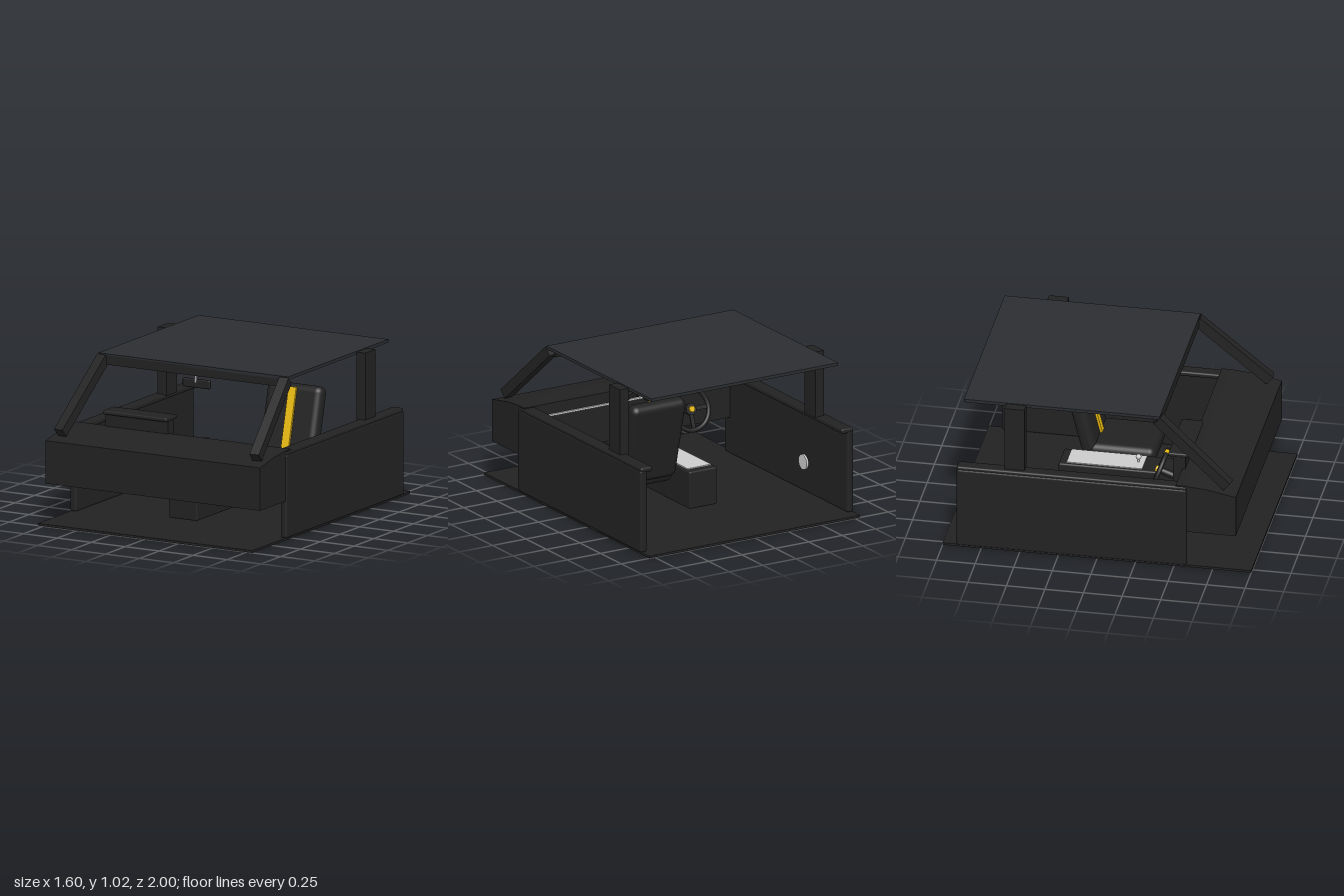
import * as THREE from 'three';
import { RoundedBoxGeometry } from 'three/addons/geometries/RoundedBoxGeometry.js';

const mat = (color) => new THREE.MeshStandardMaterial({ color });
const black = mat(0x222222), roofGrey = mat(0x2b2d30), yellow = mat(0xe8b90c), grey = mat(0xcccccc);

export function createModel() {
  const car = new THREE.Group();

  const add = (name, geometry, material, x, y, z, parent = car) => {
    const mesh = new THREE.Mesh(geometry, material);
    mesh.name = name;
    mesh.position.set(x, y, z);
    parent.add(mesh);
    return mesh;
  };
  // Box given by its lower and upper corners
  const box = (name, material, [x0, y0, z0], [x1, y1, z1], radius = 0, parent = car) => {
    const size = [x1 - x0, y1 - y0, z1 - z0];
    const geometry = radius ? new RoundedBoxGeometry(...size, 3, radius) : new THREE.BoxGeometry(...size);
    return add(name, geometry, material, (x0 + x1) / 2, (y0 + y1) / 2, (z0 + z1) / 2, parent);
  };
  // Beam or rod between two points
  const beam = (name, material, from, to, width, parent = car) => {
    const a = new THREE.Vector3(...from), b = new THREE.Vector3(...to);
    const mid = a.clone().add(b).multiplyScalar(0.5);
    const mesh = add(name, new THREE.BoxGeometry(width, width, a.distanceTo(b)), material, mid.x, mid.y, mid.z, parent);
    mesh.lookAt(b);
    return mesh;
  };

  // Floor and roof
  box('floor', black, [-0.79, 0, -1], [0.79, 0.015, 1]);
  box('roof', roofGrey, [-0.7, 1, -0.88], [0.7, 1.02, 0.39]);
  box('roofHeader', black, [-0.66, 0.95, 0.34], [0.66, 1.01, 0.39]);

  // Doors and pillars on both sides
  for (const s of [-1, 1]) {
    const side = s > 0 ? 'left' : 'right';
    const span = (a, b) => [Math.min(s * a, s * b), Math.max(s * a, s * b)];
    const [d0, d1] = span(0.75, 0.8);
    box(side + 'Door', black, [d0, 0.012, -0.91], [d1, 0.56, 0.58], 0.015);
    const [r0, r1] = span(0.71, 0.795);
    box(side + 'DoorRail', black, [r0, 0.545, -0.91], [r1, 0.578, 0.58], 0.012);
    const [p0, p1] = span(0.7, 0.765);
    box(side + 'RearPillar', black, [p0, 0.57, -0.605], [p1, 1.015, -0.475]);
    beam(side + 'FrontPillar', black, [s * 0.72, 0.582, 0.837], [s * 0.67, 0.99, 0.375], 0.066);
    const speaker = add(side + 'Speaker', new THREE.CylinderGeometry(0.05, 0.05, 0.015, 32), grey, s * 0.744, 0.21, -0.39);
    speaker.rotation.z = Math.PI / 2;
  }

  // Dashboard: side profile swept across the cabin
  const profile = new THREE.Shape([[0.51, 0.255], [0.9, 0.255], [0.9, 0.535], [0.71, 0.572], [0.57, 0.584], [0.51, 0.584]]
    .map(([z, y]) => new THREE.Vector2(z, y)));
  const dash = new THREE.ExtrudeGeometry(profile, { depth: 1.58, bevelEnabled: false });
  dash.translate(0, 0, -0.79).rotateY(-Math.PI / 2);
  add('dashboard', dash, black, 0, 0, 0);
  box('dashboardTrim', grey, [-0.62, 0.5, 0.496], [0.62, 0.512, 0.512]);

  // Instrument pod with five gauges
  box('instrumentPod', black, [-0.565, 0.49, 0.45], [-0.105, 0.68, 0.53]);
  box('instrumentHood', black, [-0.57, 0.665, 0.42], [-0.1, 0.692, 0.56], 0.01);
  for (let i = 0; i < 5; i++) {
    const x = -0.185 - i * 0.075;
    add('gaugeRing', new THREE.TorusGeometry(0.033, 0.003, 8, 32), grey, x, 0.59, 0.448);
    const face = add('gaugeFace', new THREE.CylinderGeometry(0.031, 0.031, 0.006, 32), black, x, 0.59, 0.448);
    face.rotation.x = Math.PI / 2;
  }

  // Steering wheel, built facing -z and tilted back
  const wheel = new THREE.Group();
  wheel.name = 'steeringWheel';
  wheel.position.set(-0.335, 0.435, 0.32);
  wheel.rotation.x = 0.35;
  car.add(wheel);
  add('wheelRim', new THREE.TorusGeometry(0.135, 0.015, 12, 48), black, 0, 0, 0, wheel);
  const marker = add('wheelMarker', new THREE.TorusGeometry(0.135, 0.0165, 12, 8, 0.26), yellow, 0, 0, 0, wheel);
  marker.rotation.z = Math.PI / 2 - 0.13;
  for (const angle of [0, Math.PI, -Math.PI / 2]) {
    const spoke = add('wheelSpoke', new THREE.BoxGeometry(0.13, 0.026, 0.01), black,
      0.065 * Math.cos(angle), 0.065 * Math.sin(angle), 0, wheel);
    spoke.rotation.z = angle;
  }
  const turned = (name, material, r, length, z) => {
    add(name, new THREE.CylinderGeometry(r, r, length, 24), material, 0, 0, z, wheel).rotation.x = Math.PI / 2;
  };
  turned('wheelHub', black, 0.038, 0.03, 0);
  turned('hornButton', yellow, 0.02, 0.02, -0.018);
  turned('steeringColumn', black, 0.022, 0.22, 0.11);

  // Angled lever beside the wheel
  const lever = add('dashLever', new THREE.BoxGeometry(0.21, 0.03, 0.035), black, 0.04, 0.545, 0.468);
  lever.rotation.y = 0.58;
  box('leverArm', black, [-0.105, 0.535, 0.45], [-0.02, 0.555, 0.47]);

  // Centre console and shifter
  box('console', black, [-0.105, 0.035, -0.38], [0.105, 0.285, 0.52], 0.012);
  box('consolePlate', grey, [-0.088, 0.28, -0.33], [0.088, 0.292, 0.16]);
  add('shifterStem', new THREE.CylinderGeometry(0.007, 0.007, 0.04, 12), grey, 0, 0.305, 0.12);
  add('shifterKnob', new THREE.SphereGeometry(0.018, 20, 14), grey, 0, 0.328, 0.12);

  // Passenger seat with a striped backrest
  box('seatCushion', black, [0.13, 0.19, -0.24], [0.535, 0.31, 0.2], 0.045);
  const back = new THREE.Group();
  back.name = 'seatBack';
  back.position.set(0.333, 0.515, -0.292);
  back.rotation.x = -0.25;
  car.add(back);
  box('backrest', black, [-0.203, -0.285, -0.052], [0.203, 0.285, 0.052], 0.045, back);
  box('backrestStripe', yellow, [-0.028, -0.27, 0.045], [0.028, 0.26, 0.066], 0, back);

  // Rear-view mirror
  box('mirror', black, [-0.1, 0.863, 0.333], [0.1, 0.92, 0.357], 0.008);
  add('mirrorStem', new THREE.CylinderGeometry(0.007, 0.007, 0.06, 12), grey, 0, 0.93, 0.358);

  return car;
}
